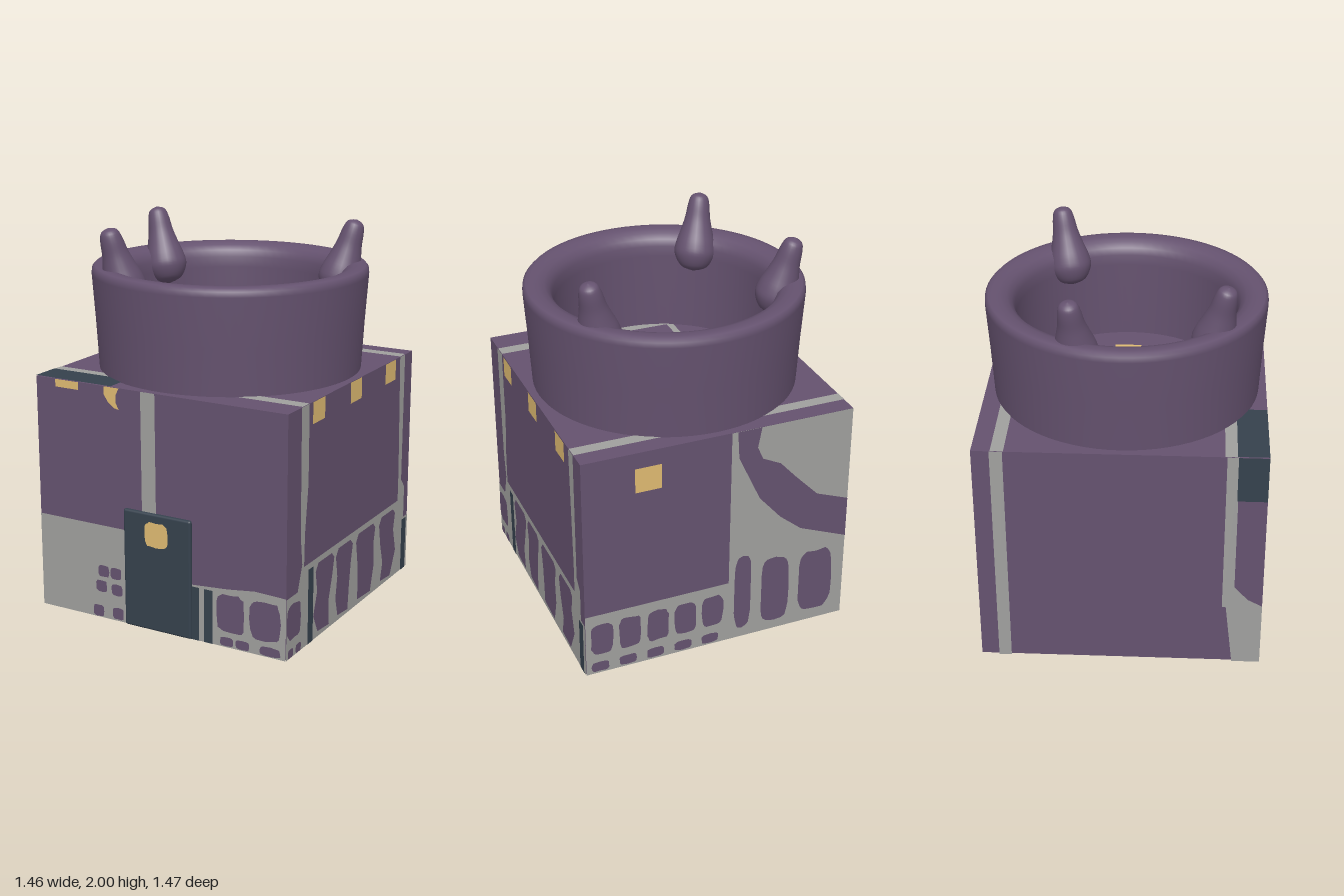
import * as THREE from 'three';
import { RoundedBoxGeometry } from 'three/addons/geometries/RoundedBoxGeometry.js';

const material = (name, color) => {
  const m = new THREE.MeshStandardMaterial({ color });
  m.name = name;
  return m;
};

export function createModel() {
  const model = new THREE.Group();
  const purple = material('purple wall', 0x65526f);
  const grey = material('grey mortar', 0xa0a09e);
  const yellow = material('yellow window', 0xdfbb72);
  const slate = material('dark slate', 0x35414d);

  let seed = 7;
  const rand = () => (seed = (seed * 16807) % 2147483647) / 2147483647;

  const add = (parent, geometry, mat, name) => {
    const mesh = new THREE.Mesh(geometry, mat);
    mesh.name = name;
    parent.add(mesh);
    return mesh;
  };

  // Each wall gets a group whose local x/y lie in the wall and z points outward
  const wall = (name, pos, rx, ry) => {
    const g = new THREE.Group();
    g.name = name;
    g.position.set(...pos);
    g.rotation.set(rx, ry, 0);
    model.add(g);
    return g;
  };
  const front = wall('frontPaint', [0, 0, 0.715], 0, 0);
  const right = wall('sidePaintPlusX', [0.725, 0, 0], 0, Math.PI / 2);
  const back = wall('backPaint', [0, 0, -0.735], 0, Math.PI);
  const left = wall('sidePaintMinusX', [-0.725, 0, 0], 0, -Math.PI / 2);
  const top = wall('topPaint', [0, 1.25, 0], -Math.PI / 2, 0);
  const bottom = wall('bottomPaint', [0, 0.007, 0], Math.PI / 2, 0);

  // Flat painted polygon; layer sets how far it sits above the wall
  const poly = (g, pts, mat, name, layer = 1) => {
    const shape = new THREE.Shape(pts.map(([x, y]) => new THREE.Vector2(x, y)));
    const mesh = add(g, new THREE.ShapeGeometry(shape), mat, name);
    mesh.position.z = 0.002 * layer;
  };
  const rect = (g, x0, x1, y0, y1, mat, name, layer) =>
    poly(g, [[x0, y0], [x1, y0], [x1, y1], [x0, y1]], mat, name, layer);
  // Irregular rounded stone
  const stone = (g, x0, x1, y0, y1, mat = purple, name = 'stone', layer = 2) => {
    const pts = [];
    for (let i = 0; i < 20; i++) {
      const a = (i / 20) * Math.PI * 2, k = 1 - 0.1 * rand();
      const c = Math.cos(a), s = Math.sin(a);
      pts.push([
        (x0 + x1) / 2 + (Math.sign(c) * Math.abs(c) ** 0.5 * k * (x1 - x0)) / 2,
        (y0 + y1) / 2 + (Math.sign(s) * Math.abs(s) ** 0.5 * k * (y1 - y0)) / 2,
      ]);
    }
    poly(g, pts, mat, name, layer);
  };
  const windowPane = (g, x0, x1, y0, y1, layer = 2) =>
    rect(g, x0, x1, y0, y1, yellow, 'window', layer);

  // Tower block
  add(model, new THREE.BoxGeometry(1.45, 1.243, 1.45), purple, 'towerBlock').position.set(0, 0.6285, -0.01);

  // Front wall: stripe, mortar, stones, window and crescent
  rect(front, -0.095, -0.012, 0.5, 1.25, grey, 'stripe');
  rect(front, -0.725, -0.19, 0, 0.51, grey, 'mortar');
  poly(front, [[0.15, 0], [0.725, 0], [0.725, 0.325], [0.55, 0.33], [0.4, 0.31], [0.15, 0.29]], grey, 'mortar');
  for (const [x, y] of [[-0.335, 0.26], [-0.26, 0.26], [-0.35, 0.175], [-0.255, 0.17], [-0.37, 0.035], [-0.25, 0.04]])
    stone(front, x - 0.035, x + 0.035, y - 0.033, y + 0.033);
  stone(front, 0.335, 0.5, 0.075, 0.29);
  stone(front, 0.52, 0.7, 0.075, 0.295);
  for (const [a, b] of [[0.355, 0.435], [0.445, 0.525], [0.58, 0.7]]) stone(front, a, b, 0.005, 0.055);
  rect(front, 0.19, 0.237, 0, 0.285, slate, 'darkBar', 2);
  rect(front, 0.265, 0.315, 0, 0.285, slate, 'darkBar', 2);
  windowPane(front, -0.605, -0.465, 1.21, 1.25);
  poly(front, [[-0.31, 1.25], [-0.31, 1.21], [-0.285, 1.17], [-0.25, 1.145], [-0.222, 1.14],
    [-0.24, 1.175], [-0.238, 1.215], [-0.22, 1.25]], yellow, 'crescent', 2);

  // +x wall
  poly(right, [[-0.715, 0], [0.735, 0], [0.735, 0.31], [0.68, 0.31], [0.68, 0.49], [0.635, 0.54],
    [0.635, 1.25], [0.57, 1.25], [0.595, 0.6], [0.595, 0.43], [-0.535, 0.43], [-0.53, 0.6],
    [-0.5, 0.85], [-0.5, 1.25], [-0.58, 1.25], [-0.575, 0.6], [-0.555, 0.45], [-0.6, 0.32], [-0.715, 0.32]], grey, 'mortar');
  for (const [a, b] of [[-0.41, -0.2], [-0.18, 0.02], [0.06, 0.3], [0.35, 0.56]]) {
    const lean = (a + b) * 0.05;
    poly(right, [[a + 0.03, 0.03], [b - 0.05, 0.02], [b - 0.03 + lean, 0.15], [b - 0.02, 0.28], [b, 0.37],
      [b - 0.03, 0.4], [a + 0.03, 0.4], [a, 0.36], [a + 0.02, 0.25], [a + 0.01 + lean, 0.13]], purple, 'stone', 2);
  }
  stone(right, -0.715, -0.565, 0.09, 0.285);
  stone(right, -0.7, -0.645, 0, 0.05);
  stone(right, -0.62, -0.56, 0, 0.05);
  rect(right, -0.49, -0.434, 0, 0.4, slate, 'darkBar', 2);
  rect(right, 0.655, 0.712, 0, 0.3, slate, 'darkBar', 2);
  for (const u of [-0.4, 0.02, 0.445]) windowPane(right, u - 0.065, u + 0.065, 1.14, 1.25);

  // Back wall: mortar, purple arch and stones
  rect(back, -0.725, 0.725, 0, 0.36, grey, 'mortar');
  rect(back, 0.06, 0.725, 0.36, 1.25, grey, 'mortar');
  poly(back, [[0.09, 1.25], [0.1, 1.1], [0.22, 0.84], [0.34, 0.7], [0.46, 0.6], [0.725, 0.49],
    [0.725, 0.72], [0.545, 0.79], [0.42, 0.92], [0.33, 1.02], [0.23, 1.07], [0.2, 1.14], [0.22, 1.25]], purple, 'arch', 2);
  for (let i = 0; i < 5; i++) {
    const u = -0.7 + i * 0.152;
    stone(back, u, u + 0.125, 0.11, 0.31);
    stone(back, u, u + 0.1, 0.01, 0.07);
  }
  for (const [a, b, h] of [[0.09, 0.19, 0.52], [0.24, 0.41, 0.46], [0.46, 0.66, 0.45]]) stone(back, a, b, 0.05, h);
  windowPane(back, -0.45, -0.31, 1.03, 1.165);

  // -x wall: two upright stripes, dark and grey corner patches
  rect(left, -0.645, -0.58, 0, 1.25, grey, 'stripe');
  rect(left, 0.51, 0.57, 0.35, 1.25, grey, 'stripe');
  poly(left, [[0.57, 0], [0.715, 0], [0.715, 0.36], [0.64, 0.4], [0.55, 0.5], [0.53, 0.35]], grey, 'mortar');
  rect(left, 0.565, 0.715, 1.0, 1.25, slate, 'darkPatch', 2);

  // Top: stripes, dark patch and windows
  rect(top, -0.725, 0.725, 0.575, 0.64, grey, 'stripe');
  rect(top, -0.725, 0.725, -0.57, -0.5, grey, 'stripe');
  rect(top, -0.26, -0.225, -0.5, 0.575, grey, 'stripe');
  rect(top, -0.725, -0.27, -0.715, -0.56, slate, 'darkPatch', 2);
  for (const v of [0.455, 0.02, -0.4]) windowPane(top, 0.265, 0.405, v - 0.07, v + 0.07);

  // Underside: grey with rows of small stones along the +x edge
  rect(bottom, -0.725, 0.725, -0.735, 0.715, grey, 'underside');
  for (let i = 0; i < 13; i++) {
    const v = -0.68 + i * 0.107;
    stone(bottom, 0.64, 0.72, v, v + 0.075);
    stone(bottom, 0.55, 0.6, v, v + 0.06);
    if (i < 9) stone(bottom, 0.46, 0.51, v, v + 0.05);
  }

  // Door with its window
  add(model, new RoundedBoxGeometry(0.395, 0.63, 0.04, 3, 0.012), slate, 'door').position.set(-0.002, 0.315, 0.712);
  const pane = new THREE.Group();
  pane.name = 'doorWindow';
  pane.position.z = 0.7315;
  model.add(pane);
  stone(pane, -0.075, 0.07, 0.45, 0.59, yellow, 'doorPane', 1);

  // Open crown ring with a rounded rim
  const ringProfile = [[0.686, 1.25], [0.7, 1.5], [0.717, 1.745], [0.714, 1.772], [0.7, 1.787], [0.675, 1.79],
    [0.64, 1.788], [0.605, 1.775], [0.58, 1.75], [0.566, 1.715], [0.563, 1.66], [0.563, 1.25]];
  const ring = add(model, new THREE.LatheGeometry(ringProfile.map((p) => new THREE.Vector2(...p)), 72), purple, 'crownRing');
  ring.position.z = -0.01;

  // Three horns swelling out of the inner rim and leaning outward
  const hornProfile = new THREE.SplineCurve([[0, -0.03], [0.07, -0.005], [0.108, 0.06], [0.105, 0.12], [0.085, 0.19],
    [0.067, 0.26], [0.056, 0.335], [0.04, 0.377], [0, 0.393]].map((p) => new THREE.Vector2(...p))).getPoints(32);
  hornProfile.forEach((p) => { p.x = Math.max(p.x, 0); });
  for (const [x, z] of [[-0.61, -0.25], [-0.41, 0.5], [0.515, -0.355]]) {
    const horn = new THREE.Group();
    horn.name = 'horn';
    horn.position.z = -0.01;
    horn.rotation.y = Math.atan2(-z, x);
    const body = add(horn, new THREE.LatheGeometry(hornProfile, 24), purple, 'hornBody');
    body.position.set(0.55, 1.622, 0);
    body.rotation.z = -0.27;
    model.add(horn);
  }
  return model;
}
